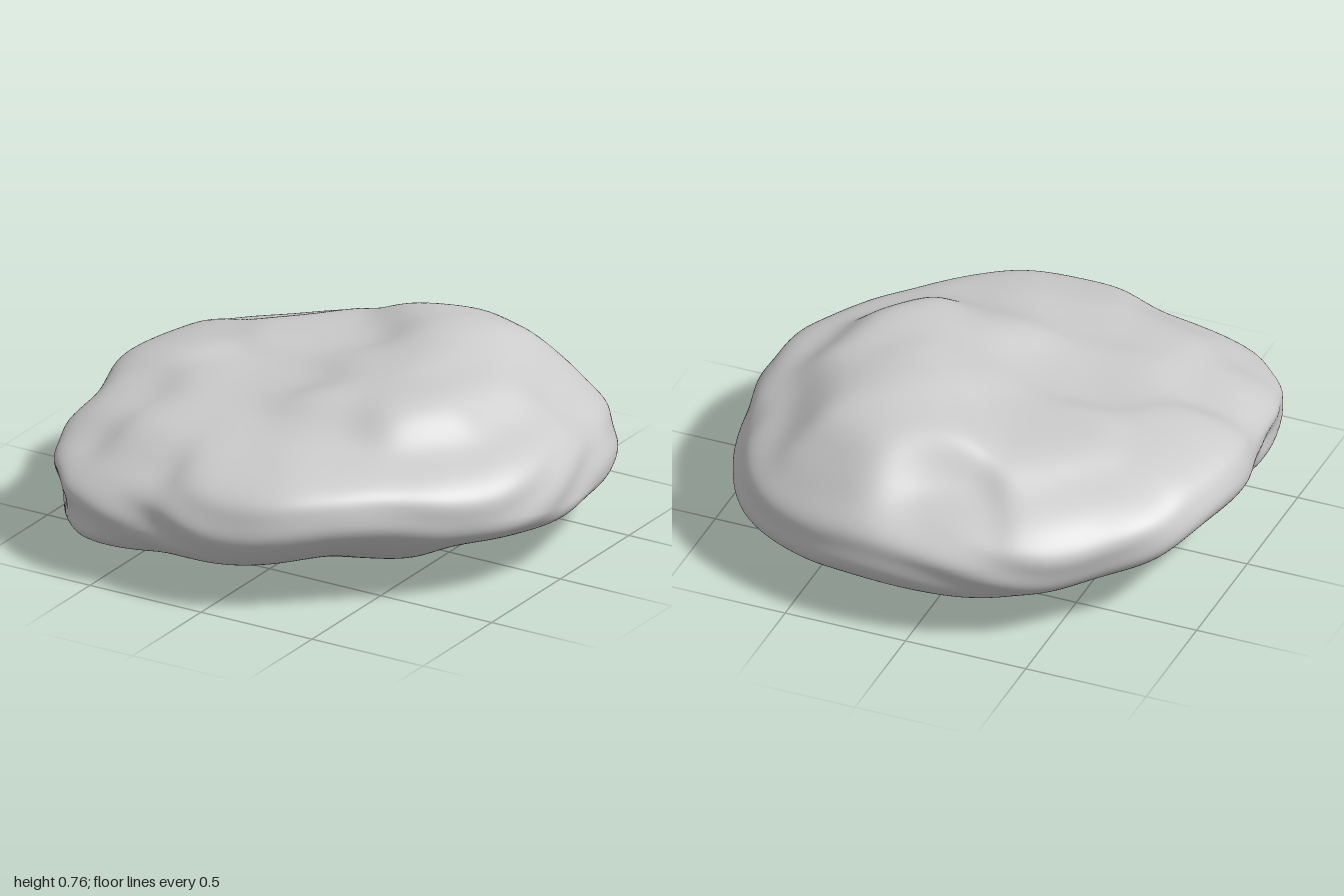
import * as THREE from 'three';
import { mergeVertices } from 'three/addons/utils/BufferGeometryUtils.js';

// Plan outline: radius every 15 degrees, turning from +x towards +z
const OUTLINE = [1.0, 0.98, 0.94, 0.905, 0.93, 0.98, 1.0, 1.015, 1.1, 1.135, 1.06, 0.98,
  1.0, 1.0, 1.01, 0.98, 1.0, 1.0, 1.0, 1.02, 1.05, 1.08, 1.05, 1.01];
// Height of the widest line, every 30 degrees
const RIM = [0.3, 0.37, 0.41, 0.33, 0.28, 0.36, 0.42, 0.39, 0.37, 0.36, 0.3, 0.27];

// Height control points [x, z, y] of the upper and lower faces
const TOP = [
  [0.3, -0.42, 0.78], [0.12, -0.5, 0.75], [0.3, -0.2, 0.745], [0.3, -0.66, 0.72], [0.5, -0.42, 0.71],
  [0.12, -0.08, 0.69], [0.42, 0.18, 0.705], [0.15, 0.26, 0.68], [0.52, -0.08, 0.69], [0.2, 0.5, 0.58],
  [-0.1, 0.12, 0.61], [-0.35, -0.35, 0.645], [-0.08, -0.3, 0.64], [-0.4, 0.2, 0.595], [-0.78, -0.1, 0.62],
  [-0.6, -0.6, 0.58], [0, -0.88, 0.54], [0.4, -0.9, 0.53], [0.75, -0.5, 0.53], [0.85, 0, 0.565],
  [0.7, 0.4, 0.54], [0.4, 0.65, 0.555], [-0.05, 0.55, 0.58], [0.05, 0.87, 0.55], [-0.4, 0.6, 0.565],
  [-0.45, 0.9, 0.48], [-0.75, 0.4, 0.55], [-0.8, 0.75, 0.45]];
const BOTTOM = [
  [-0.1, 0.12, -0.01], [0.4, 0, 0.02], [0.1, -0.1, 0.03], [0, -0.45, 0.05], [-0.45, 0.05, 0.05],
  [-0.7, 0, 0.13], [-0.85, -0.1, 0.2], [-0.15, 0.42, 0.05], [-0.15, 0.75, 0.13], [0.2, 0.8, 0.12],
  [-0.5, 0.75, 0.11], [-0.78, 0.6, 0.12], [0.42, 0.38, 0.07], [0.5, 0.65, 0.15], [0.78, 0.2, 0.17],
  [0.82, -0.2, 0.15], [0.6, -0.58, 0.11], [0, -0.85, 0.12], [-0.6, -0.6, 0.13]];

// Hollows (negative) and swellings on the sides: [x, y, z, size, amount]
const DENTS = [[-0.78, 0.27, 0.77, 0.11, -0.055], [-0.93, 0.31, 0.4, 0.08, -0.02],
  [-0.57, 0.16, 0.92, 0.1, 0.025], [-0.3, 0.3, 0.98, 0.12, -0.01],
  [0.9, 0.48, -0.45, 0.1, -0.02], [0, 0.52, -0.92, 0.12, -0.02]];

// Smooth value at an angle from an evenly spaced closed list
function around(list, angle) {
  const n = list.length, u = (angle / (2 * Math.PI)) * n, i = Math.floor(u), t = u - i;
  const [a, b, c, d] = [-1, 0, 1, 2].map(k => list[(i + k + n) % n]);
  return b + 0.5 * t * (c - a + t * (2 * a - 5 * b + 4 * c - d + t * (3 * (b - c) + d - a)));
}

// Smooth height at a plan position from scattered control points
function heightAt(points, x, z, spread) {
  let sum = 0, total = 0;
  for (const [px, pz, y] of points) {
    const w = Math.exp(-((x - px) ** 2 + (z - pz) ** 2) / (2 * spread * spread)) + 1e-9;
    sum += w * y;
    total += w;
  }
  return sum / total;
}

// Bump that is 1 at one angle and fades to 0 a quarter turn away
const lobe = (angle, centre) => Math.max(0, Math.cos(angle - centre)) ** 4;

function surfacePoint(phi, angle) {
  const s = Math.min(1, Math.sin(phi)), upper = phi <= Math.PI / 2;
  const rim = around(RIM, angle), r = around(OUTLINE, angle) * s;
  let x = r * Math.cos(angle), z = r * Math.sin(angle);

  // Rounded section; the underside is square at the blocky corner and at the back
  const power = upper
    ? 7.5 + 3 * Math.cos(angle)
    : 5.5 + 1.5 * Math.cos(angle) + 13 * lobe(angle, 2.25) + 3 * lobe(angle, -1.57) - 2 * lobe(angle, 1);
  const face = upper ? heightAt(TOP, x, z, 0.125) : heightAt(BOTTOM, x, z, 0.15);
  let y = rim + (face - rim) * Math.sqrt(Math.max(0, 1 - s ** power));

  // Side hollows and faint sloping strata
  let push = 0.005 * s ** 6 * Math.sin(38 * y + 3 * Math.sin(angle * 2) + 2 * Math.sin(angle * 5));
  for (const [dx, dy, dz, size, amount] of DENTS)
    push += amount * Math.exp(-((x - dx) ** 2 + 2 * (y - dy) ** 2 + (z - dz) ** 2) / (size * size));
  x *= 1 + push;
  z *= 1 + push;
  y += 0.004 * Math.sin(9 * x + 4 * z) * Math.sin(8 * z - 3 * x);
  return [x, y, z];
}

export function createModel() {
  const rings = 140, sides = 180, positions = [], indices = [];
  for (let i = 0; i <= rings; i++)
    for (let j = 0; j < sides; j++)
      positions.push(...surfacePoint((i / rings) * Math.PI, (j / sides) * 2 * Math.PI));
  for (let i = 0; i < rings; i++)
    for (let j = 0; j < sides; j++) {
      const k = (j + 1) % sides, a = i * sides + j, b = i * sides + k;
      indices.push(a, b, a + sides, b, b + sides, a + sides);
    }
  let geometry = new THREE.BufferGeometry();
  geometry.setAttribute('position', new THREE.Float32BufferAttribute(positions, 3));
  geometry.setIndex(indices);
  geometry = mergeVertices(geometry, 1e-5);

  // Centre on the ground
  geometry.computeBoundingBox();
  const { min, max } = geometry.boundingBox;
  geometry.translate(-(min.x + max.x) / 2, -min.y, -(min.z + max.z) / 2);
  geometry.computeVertexNormals();

  const rock = new THREE.Mesh(geometry, new THREE.MeshStandardMaterial({ color: 0xcccccc }));
  rock.name = 'rock';
  const group = new THREE.Group();
  group.name = 'flatBoulder';
  group.add(rock);
  return group;
}
